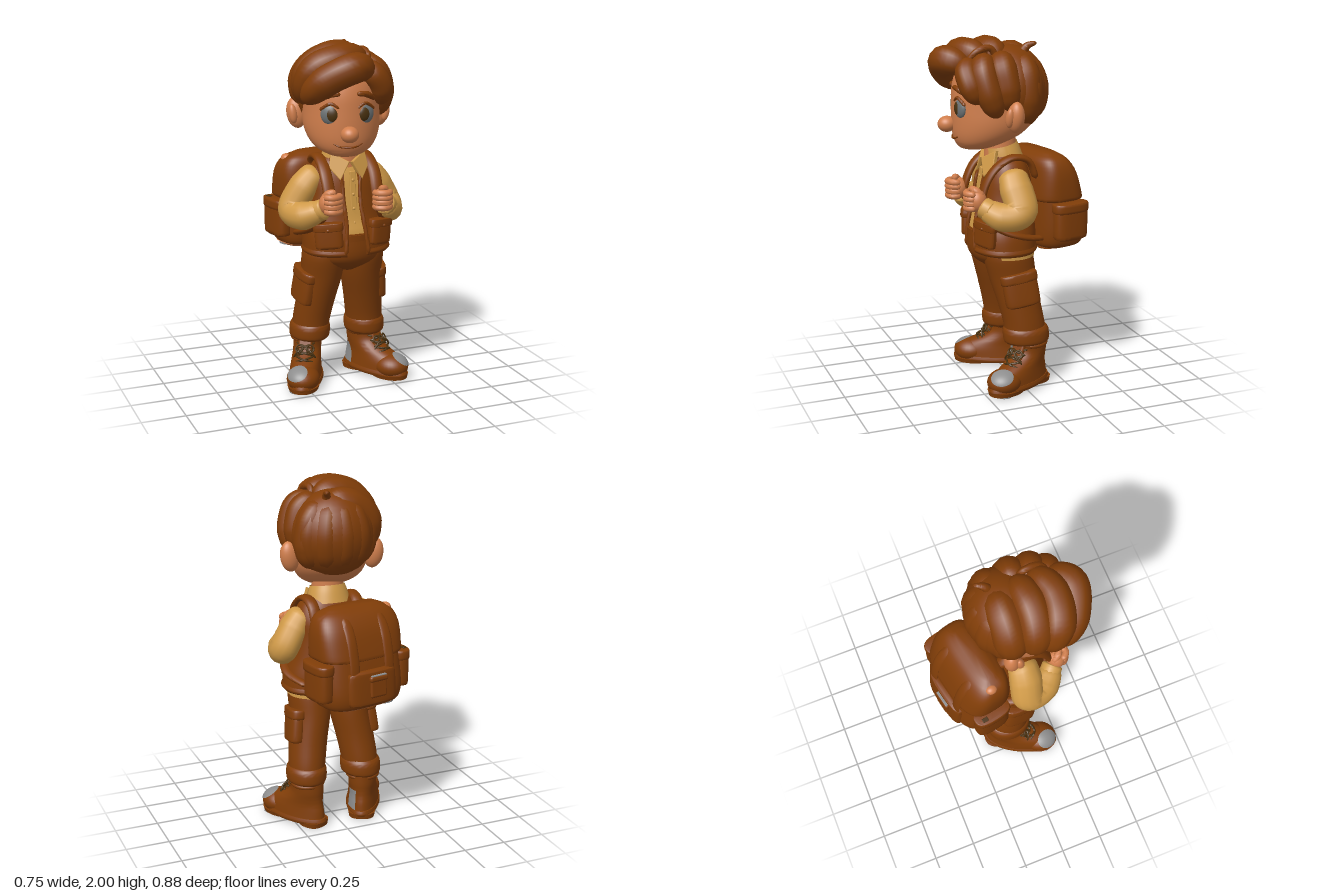
import * as THREE from 'three';
import { toCreasedNormals } from 'three/addons/utils/BufferGeometryUtils.js';
import { RoundedBoxGeometry } from 'three/addons/geometries/RoundedBoxGeometry.js';

const V = (p) => new THREE.Vector3(...p);
const colour = (name, hex) => {
  const m = new THREE.MeshStandardMaterial({ color: hex, side: THREE.DoubleSide });
  m.name = name;
  return m;
};

// Stacked superellipse rings; each section is [y, centreX, centreZ, radiusX, radiusZ]
function loft(secs, { e = 2, a0 = 0, a1 = Math.PI * 2, n = 40, sub = 4 } = {}) {
  const centre = new THREE.CatmullRomCurve3(secs.map(s => V([s[1], s[0], s[2]])), false, 'catmullrom');
  const radius = new THREE.CatmullRomCurve3(secs.map(s => V([s[3], 0, s[4]])), false, 'catmullrom');
  const closed = a1 - a0 > 6.28, rows = [], N = (secs.length - 1) * sub;
  for (let j = 0; j <= N; j++) rows.push([j / N, 1]);
  if (closed) { rows.unshift([0, 0]); rows.push([1, 0]); }
  const pos = [], idx = [], pw = v => Math.sign(v) * Math.abs(v) ** (2 / e);
  rows.forEach(([t, k], j) => {
    const c = centre.getPoint(t), r = radius.getPoint(t);
    for (let i = 0; i <= n; i++) {
      const a = a0 + (a1 - a0) * i / n;
      pos.push(c.x + k * r.x * pw(Math.sin(a)), c.y, c.z + k * r.z * pw(Math.cos(a)));
      if (j && i) {
        const q = j * (n + 1) + i, p = q - n - 1;
        idx.push(p - 1, p, q, p - 1, q, q - 1);
      }
    }
  });
  const g = new THREE.BufferGeometry();
  g.setAttribute('position', new THREE.Float32BufferAttribute(pos, 3));
  g.setIndex(idx);
  return toCreasedNormals(g, 0.9);
}

// Soft, rounded pocket shape
const pouch = (w, h, d) => loft([[-.5, .34], [-.46, .44], [-.36, .5], [.36, .5], [.46, .44], [.5, .34]]
  .map(([y, r]) => [y * h, 0, 0, r * w, r * d]), { e: 2.8 });

// Tube with varying radius and rounded ends; flat squashes the cross-section per axis
function limb(pts, radii, { flat = [1, 1, 1], n = 28, cap = 0.12 } = {}) {
  const curve = new THREE.CatmullRomCurve3(pts.map(V)), m = 14;
  const g = new THREE.TubeGeometry(curve, n, 1, m), p = g.attributes.position, v = new THREE.Vector3();
  for (let i = 0; i <= n; i++) {
    const t = i / n, c = curve.getPointAt(t), f = t * (radii.length - 1);
    const k = Math.min(Math.floor(f), radii.length - 2);
    const r = THREE.MathUtils.lerp(radii[k], radii[k + 1], f - k);
    const u = Math.max(0, 1 - Math.min(t, 1 - t) / cap);
    for (let j = 0; j <= m; j++) {
      const q = i * (m + 1) + j;
      v.fromBufferAttribute(p, q).sub(c).multiplyScalar(r * Math.sqrt(1 - u * u)).multiply(V(flat)).add(c);
      p.setXYZ(q, v.x, v.y, v.z);
    }
  }
  return toCreasedNormals(g, 1.2);
}

export function createModel() {
  const brown = colour('brown', 0x803d08), skin = colour('skin', 0xd07e4c);
  const cream = colour('shirt tan', 0xd09a48), grey = colour('grey', 0x8e8e8e);
  const dark = colour('dark brown', 0x4a3210), eyeGrey = colour('eye grey', 0x6c7274);
  const model = new THREE.Group();
  const group = (name, pos = [0, 0, 0], ry = 0, parent = model) => {
    const g = new THREE.Group();
    g.name = name; g.position.set(...pos); g.rotation.y = ry; parent.add(g);
    return g;
  };
  const add = (parent, name, geo, mat, pos = [0, 0, 0], rot = [0, 0, 0]) => {
    const m = new THREE.Mesh(geo, mat);
    m.name = name; m.position.set(...pos); m.rotation.set(...rot); parent.add(m);
    return m;
  };
  const ball = (parent, name, mat, pos, r, rot) =>
    add(parent, name, new THREE.SphereGeometry(1, 28, 20), mat, pos, rot).scale.set(...r);
  const box = (parent, name, mat, size, pos, rot) =>
    add(parent, name, new RoundedBoxGeometry(...size, 3, Math.min(...size) * 0.4), mat, pos, rot);

  // Head, turned slightly to its right
  const head = group('head', [-0.02, 0, 0.07], -0.2);
  add(head, 'face', loft([[1.366, 0, .13, .04, .04], [1.378, 0, .12, .09, .09], [1.41, 0, .09, .15, .145],
    [1.46, 0, .05, .19, .2], [1.53, 0, .02, .212, .235], [1.62, 0, .01, .215, .245], [1.72, 0, 0, .215, .25],
    [1.81, 0, 0, .19, .22], [1.88, 0, 0, .12, .14]]), skin);
  ball(head, 'nose', skin, [0, 1.51, .28], [.05, .045, .052]);
  add(head, 'mouth', limb([[-.085, 1.455, .224], [-.045, 1.437, .242], [0, 1.433, .249], [.045, 1.437, .242], [.085, 1.455, .224]], [.004, .006, .004]), brown);
  for (const s of [-1, 1]) {
    ball(head, 'eyeWhite', eyeGrey, [s * .097, 1.612, .216], [.052, .055, .024], [0, s * .38, 0]);
    ball(head, 'iris', dark, [s * .09, 1.612, .225], [.038, .043, .021], [0, s * .36, 0]);
    add(head, 'eyelid', limb([[s * .047, 1.645, .242], [s * .095, 1.672, .232], [s * .15, 1.635, .197]], [.008, .01]), brown);
    add(head, 'eyebrow', limb([[s * .045, 1.725, .247], [s * .1, 1.72, .228], [s * .155, 1.685, .18]], [.012, .018, .01]), brown);
    ball(head, 'ear', skin, [s * .238, 1.58, -.068], [.056, .088, .046], [0, s * .35, -s * .15]);
    ball(head, 'innerEar', skin, [s * .262, 1.58, -.032], [.024, .055, .025], [0, s * .5, -s * .15]);
  }

  // Hair: a cap with swept clumps on both sides of the parting
  const hair = group('hair');
  ball(hair, 'hairCap', brown, [-.012, 1.7, .005], [.24, .25, .22]);
  const clumps = [
    [.085, [.06, 1.84, .25], [-.05, 1.87, .355], [-.2, 1.8, .31], [-.295, 1.68, .21]],
    [.09, [.08, 1.9, .17], [-.08, 1.9, .24], [-.22, 1.85, .22], [-.285, 1.67, .14]],
    [.095, [.08, 1.9, .08], [-.1, 1.895, .11], [-.21, 1.82, .1], [-.24, 1.64, .06]],
    [.1, [.06, 1.88, -.03], [-.08, 1.86, -.03], [-.18, 1.78, -.03], [-.19, 1.6, -.03]],
    [.065, [.04, 1.86, .22], [.08, 1.83, .28], [.13, 1.76, .28], [.155, 1.65, .23]],
    [.075, [.04, 1.88, .15], [.12, 1.84, .2], [.168, 1.73, .19], [.175, 1.57, .13]],
    [.08, [.04, 1.89, .07], [.13, 1.84, .09], [.165, 1.75, .08], [.17, 1.6, .06]],
    [.085, [.04, 1.88, -.02], [.12, 1.81, -.04], [.15, 1.7, -.04], [.14, 1.52, -.04]],
  ];
  for (const [r, ...pts] of clumps) add(hair, 'hairClump', limb(pts, [r * .8, r, r, r * .7], { cap: .22 }), brown);
  for (const a of [-1.1, -.55, 0, .55, 1.1]) {
    const pts = [1.3, .7, .1, -.5, -1].map(h => [-.012 + .17 * Math.sin(a) * Math.cos(h),
      1.7 + .18 * Math.sin(h), .005 - .14 * Math.cos(a) * Math.cos(h)]);
    add(hair, 'backClump', limb(pts, [.055, .08, .085, .085, .07], { cap: .2 }), brown);
  }
  add(hair, 'cowlick', limb([[.05, 1.89, -.05], [.06, 1.94, -.08], [.08, 1.96, -.13]], [.03, .022, .01]), brown);
  add(hair, 'curl', limb([[.07, 1.88, .1], [.07, 1.94, .14], [.075, 1.925, .22], [.05, 1.85, .28]], [.018, .02, .016]), brown);

  // Shirt and neck, with a collar standing higher at the nape
  const torso = [[.8, .015, .06, .25, .185], [.9, .01, .06, .245, .185], [1, 0, .05, .225, .17], [1.12, 0, .045, .205, .155],
    [1.22, 0, .04, .2, .14], [1.3, 0, .04, .17, .11], [1.345, 0, .04, .11, .08]];
  const inner = torso.map(([y, x, z, a, b]) => [y, x, z, a * .94, b * .94]);
  inner[0] = [.77, .01, .045, .235, .163];
  add(model, 'shirt', loft(inner, { e: 2.3 }), cream);
  add(model, 'neck', new THREE.CylinderGeometry(.085, .095, .18, 32), skin, [0, 1.37, .055]);
  add(model, 'collar', loft([[-.06, 0, 0, .128, .115], [0, 0, 0, .113, .106], [.04, 0, 0, .1, .097]],
    { a0: .45, a1: Math.PI * 2 - .45 }), cream, [0, 1.355, .05], [.2, 0, 0]);
  const flapShape = new THREE.Shape([[0, 0], [.09, .06], [.105, -.02], [.055, -.09]].map(p => new THREE.Vector2(...p)));
  for (const s of [-1, 1]) {
    const g = new THREE.ExtrudeGeometry(flapShape, { depth: .015, bevelSize: .005, bevelThickness: .005, bevelSegments: 2 });
    if (s < 0) g.rotateY(Math.PI).translate(0, 0, .015);
    add(model, 'collarPoint', g, cream, [.002 + s * .008, 1.315, .155], [-.3, s * .35, 0]);
  }
  box(model, 'placket', cream, [.035, .34, .012], [.01, 1.1, .19], [-.11, 0, 0]);
  for (let i = 0; i < 4; i++) ball(model, 'button', cream, [.01, .98 + i * .08, .211 - i * .009], [.009, .009, .005]);

  // Open vest with bound edges and flap pockets
  const vest = group('vest');
  add(vest, 'vestShell', loft(torso, { e: 2.3, a0: .16, a1: Math.PI * 2 - .16, n: 60 }), brown);
  add(vest, 'vestHem', loft([[.792, .015, .06, .245, .18], [.808, .015, .06, .256, .191], [.83, .015, .06, .25, .185]],
    { e: 2.3, a0: .2, a1: Math.PI * 2 - .2 }), brown);
  for (const s of [-1, 1]) {
    add(vest, 'vestEdge', limb([[.015 + s * .07, .8, .243], [.01 + s * .055, .95, .232], [s * .05, 1.1, .197], [s * .06, 1.24, .167], [s * .1, 1.34, .1]],
      [.012, .01], { cap: .03 }), brown);
    const pocket = group('vestPocket', [.01 + s * .155, .92, .208], s * .42, vest);
    pocket.rotation.z = -s * .08;
    add(pocket, 'pocketBody', pouch(.155, .13, .055), brown, [0, -.01, 0]);
    add(pocket, 'pocketFlap', pouch(.168, .05, .066), brown, [0, .05, 0]);
    ball(pocket, 'pocketButton', brown, [0, .035, .031], [.01, .01, .007]);
  }

  // Trousers
  const trousers = group('trousers');
  add(trousers, 'hips', loft([[.69, .005, .05, .06, .1], [.74, .005, .062, .19, .155], [.8, .005, .07, .22, .174], [.92, .008, .066, .2, .175]]), brown);
  add(trousers, 'belt', loft([[.88, .008, .067, .2, .182], [.915, .008, .067, .2, .182]], { sub: 1 }), brown);
  for (const s of [-1, 1]) {
    add(trousers, 'leg', loft([[.27, s * .172, -.035, .1, .12], [.37, s * .164, -.026, .106, .12], [.5, s * .146, 0, .111, .125],
      [.65, s * .122, .03, .117, .138], [.78, s * .118, .055, .12, .145], [.86, s * .11, .06, .1, .13]]), brown);
    add(trousers, 'cuff', loft([[.258, s * .172, -.037, .1, .122], [.275, s * .172, -.037, .114, .134], [.33, s * .17, -.034, .114, .134],
      [.355, s * .168, -.032, .1, .12]]), brown);
    const pocket = group('cargoPocket', [s * .222, .595, .018], 0, trousers);
    pocket.rotation.set(.16, -s * .1, s * .12);
    add(pocket, 'cargoBody', pouch(.09, .18, .2), brown, [0, -.015, 0]);
    add(pocket, 'cargoFlap', pouch(.102, .06, .212), brown, [0, .065, 0]);
  }

  // Boots, toes turned out
  for (const s of [-1, 1]) {
    const boot = group(s > 0 ? 'leftBoot' : 'rightBoot', [s * .175, 0, -.062], s * .47);
    const upper = [[.04, 0, .1, .095, .218], [.09, 0, .1, .09, .212], [.13, 0, .075, .085, .178], [.17, 0, .03, .082, .13],
      [.21, 0, .003, .082, .105], [.28, 0, 0, .084, .1]];
    add(boot, 'bootUpper', loft(upper), brown);
    ball(boot, 'toeCap', brown, [0, .07, .225], [.095, .072, .103]);
    const patch = new THREE.SphereGeometry(1, 20, 10, 0, Math.PI * 2, 0, .7).rotateX(.62).rotateZ(-s * .45);
    add(boot, 'toePatch', patch, grey, [0, .07, .225]).scale.set(.098, .075, .106);
    const a = -s * 2.45;
    add(boot, 'heelPatch', loft(upper.slice(0, 4).map(([y, x, z, p, q]) => [y, x, z, p + .004, q + .004]),
      { a0: a - .3, a1: a + .3, n: 10 }), grey);
    add(boot, 'sole', loft([[.016, 0, .1, .096, .226], [.03, 0, .1, .102, .232], [.05, 0, .1, .097, .225]]), brown);
    add(boot, 'heel', loft([[0, 0, -.045, .075, .075], [.03, 0, -.045, .08, .08]], { e: 2.6, sub: 1 }), brown);
    add(boot, 'foreSole', loft([[.005, 0, .205, .086, .12], [.03, 0, .205, .094, .125]], { sub: 1 }), brown);
    add(boot, 'solePatch', new THREE.CylinderGeometry(.045, .045, .006, 24), grey, [s * .03, .003, .26]);
    add(boot, 'bootCollar', new THREE.TorusGeometry(.085, .014, 12, 32), brown, [0, .25, 0], [Math.PI / 2, 0, 0]);
    box(boot, 'tongue', brown, [.08, .13, .03], [0, .2, .115], [-.4, 0, 0]);
    for (let i = 0; i < 3; i++) for (const k of [-1, 1]) {
      const y = .145 + i * .03, z = .182 - i * .031;
      add(boot, 'lace', limb([[-k * .055, y, z - .015], [0, y + .02, z + .008], [k * .055, y + .03, z - .035]], [.006, .006]), dark);
    }
    for (const k of [-1, 1]) {
      add(boot, 'laceLoop', new THREE.TorusGeometry(.022, .005, 8, 20), dark, [k * .032, .215, .14], [-.5, k * .4, k * .5]);
      add(boot, 'laceEnd', limb([[0, .215, .135], [k * .04, .2, .155], [k * .065, .165, .15]], [.005, .005]), dark);
    }
  }

  // Arms bent up, hands gripping the straps
  for (const s of [-1, 1]) {
    const w = s < 0 ? .018 : -.006;
    const arm = group(s > 0 ? 'leftArm' : 'rightArm');
    add(arm, 'sleeve', limb([[s * .14, 1.265, .045], [s * (.205 + w), 1.185, .042], [s * (.282 + w), 1.05, .04],
      [s * (.258 + w), 1.03, .13], [s * .18, 1.08, .23]], [.07, .085, .083, .08, .055], { n: 40, cap: .1, flat: [.96, 1, 1.12] }), cream);
    add(arm, 'sleeveCuff', limb([[s * .225, 1.055, .185], [s * .175, 1.085, .235]], [.06, .06], { cap: .2 }), cream);
    ball(arm, 'palm', skin, [s * .16, 1.115, .255], [.058, .064, .054]);
    for (let i = 0; i < 4; i++)
      add(arm, 'finger', limb([[s * .2, 1.08 + i * .026, .275], [s * .165, 1.078 + i * .027, .312], [s * .115, 1.078 + i * .027, .295],
        [s * .105, 1.08 + i * .026, .255]], [.018, .02, .018], { n: 14 }), skin);
    add(arm, 'thumb', limb([[s * .185, 1.14, .23], [s * .165, 1.175, .265], [s * .13, 1.182, .285]], [.02, .022, .017], { n: 14 }), skin);
    add(model, 'shoulderStrap', limb([[s * .13, 1.2, -.11], [s * .135, 1.31, -.06], [s * .14, 1.335, .04], [s * .145, 1.26, .16],
      [s * .15, 1.1, .22], [s * .215, .97, .165], [s * .255, .91, .03], [s * .2, .87, -.13]], [.024, .026, .026, .024, .02],
      { flat: [1.4, .75, .75], n: 50, cap: .03 }), brown);
  }

  // Backpack, slightly turned
  const pack = group('backpack', [-.05, 0, -.225], .2);
  const body = [[.785, 0, -.02, .205, .115], [.81, 0, -.02, .24, .15], [.9, 0, -.018, .255, .158], [1.1, 0, .002, .25, .14],
    [1.22, 0, .02, .24, .115], [1.29, 0, .036, .21, .085], [1.33, 0, .04, .15, .045]];
  add(pack, 'packBody', loft(body, { e: 3.2, n: 56 }), brown);
  const cover = [[1.07, 0, -.002, .258, .155], [1.09, 0, 0, .266, .159], [1.22, -.005, .016, .264, .134], [1.3, -.005, .035, .232, .099], [1.338, 0, .04, .16, .045]];
  add(pack, 'packFlap', loft(cover, { e: 3.2, n: 56 }), brown);
  ball(pack, 'flapPatch', skin, [-.213, 1.297, .01], [.03, .026, .034]);
  add(pack, 'bottomPatch', loft([[.777, -.01, -.02, .195, .105], [.795, -.01, -.02, .225, .137]], { e: 3, sub: 1 }), skin);
  add(pack, 'bottomGreyPatch', new THREE.CylinderGeometry(.065, .065, .008, 24), grey, [-.15, .776, -.055]);
  add(pack, 'bottomBrownPatch', new THREE.CylinderGeometry(.06, .06, .008, 24), brown, [.1, .776, .03]);
  for (const s of [-1, 1]) {
    add(pack, 'flapStrap', limb([[s * .1, 1.332, .02], [s * .11, 1.285, -.065], [s * .115, 1.2, -.124], [s * .115, 1.07, -.16], [s * .115, .93, -.172]],
      [.022, .022], { flat: [1.4, .4, .4], cap: .04 }), brown);
    add(pack, 'sidePocket', pouch(.1, .21, .21), brown, [s * .257, .95, -.02]);
    add(pack, 'sidePocketFlap', pouch(.112, .06, .222), brown, [s * .257, 1.035, -.018]);
  }
  box(pack, 'sidePocketBuckle', dark, [.025, .008, .035], [-.28, 1.066, -.075]);
  add(pack, 'backPocket', pouch(.31, .2, .075), brown, [0, .915, -.16], [.06, 0, 0]);
  box(pack, 'smallPocket', brown, [.11, .11, .035], [-.02, .915, -.19], [.06, 0, 0]);
  box(pack, 'smallPocketFlap', brown, [.12, .035, .045], [-.02, .97, -.19], [.06, 0, 0]);
  box(pack, 'pocketTrim', grey, [.1, .008, .026], [-.02, .987, -.194]);
  return model;
}
